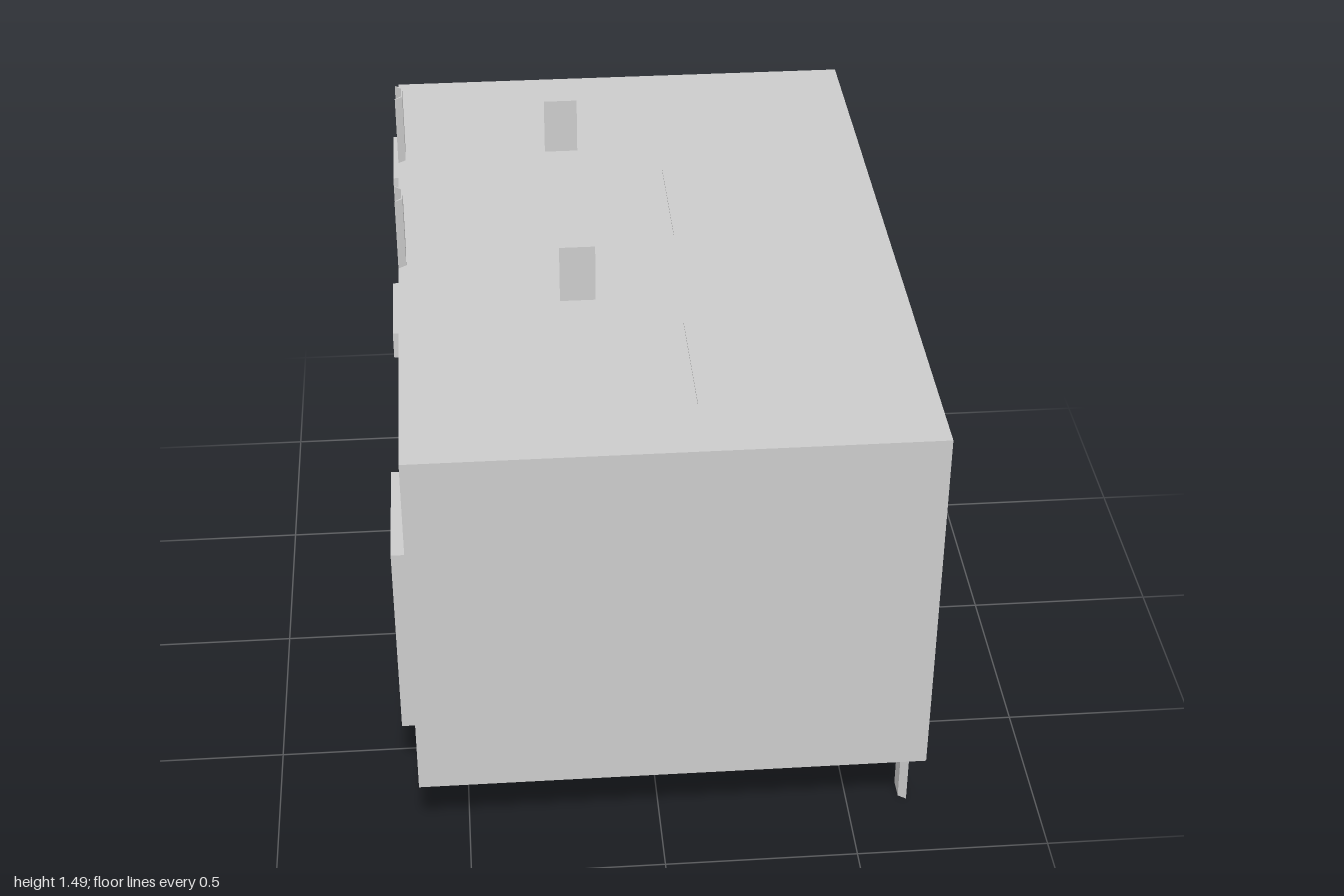
import * as THREE from 'three';

const mat = new THREE.MeshStandardMaterial({ color: 0xcccccc, flatShading: true });
const sheet = new THREE.MeshStandardMaterial({ color: 0xcccccc, flatShading: true, side: THREE.DoubleSide });

// Box given by its lower and upper limits
function box(name, [x0, y0, z0], [x1, y1, z1]) {
  const m = new THREE.Mesh(new THREE.BoxGeometry(x1 - x0, y1 - y0, z1 - z0), mat);
  m.position.set((x0 + x1) / 2, (y0 + y1) / 2, (z0 + z1) / 2);
  m.name = name;
  return m;
}

// Thin upright or flat plate
function plate(name, w, h, x, y, z, rx = 0, ry = 0) {
  const m = new THREE.Mesh(new THREE.PlaneGeometry(w, h), sheet);
  m.position.set(x, y, z);
  m.rotation.set(rx, ry, 0);
  m.name = name;
  return m;
}

// Open channel: flat web at depth 0, splayed flanges reaching 0.02; extruded along +z
function channel(name, length) {
  const t = 0.003;
  const s = new THREE.Shape();
  [[0.02, 0.041], [0, 0.027], [0, -0.027], [0.02, -0.041], [0.02, -0.041 + t],
    [t, -0.026 + t], [t, 0.026 - t], [0.02, 0.041 - t]]
    .forEach(([x, y], i) => (i ? s.lineTo(x, y) : s.moveTo(x, y)));
  const m = new THREE.Mesh(new THREE.ExtrudeGeometry(s, { depth: length, bevelEnabled: false }), sheet);
  m.name = name;
  return m;
}

// Small rectangular ring on the rear wall
function handle(x, y) {
  const s = new THREE.Shape();
  s.moveTo(-0.03, -0.02).lineTo(0.03, -0.02).lineTo(0.03, 0.02).lineTo(-0.03, 0.02);
  const h = new THREE.Path();
  h.moveTo(-0.02, -0.011).lineTo(-0.02, 0.011).lineTo(0.02, 0.011).lineTo(0.02, -0.011);
  s.holes.push(h);
  const m = new THREE.Mesh(new THREE.ExtrudeGeometry(s, { depth: 0.012, bevelEnabled: false }), mat);
  m.position.set(x, y, -0.937);
  m.name = 'rearHandle';
  return m;
}

export function createModel() {
  const g = new THREE.Group();
  const top = 1.295, bottom = 0.31;

  // Main block and the raised panel on its right side
  g.add(box('body', [-0.62, bottom, -0.925], [0.66, top, 1]));
  g.add(box('sidePanel', [-0.662, bottom, 0.41], [-0.62, 0.86, 0.765]));

  // Two cross straps with a lip over the side, an upright tab and a seam
  for (const [z, seamX, seamZ] of [[0.315, 0.085, 0.625], [-0.48, 0.1, -0.165]]) {
    const strap = new THREE.Group();
    strap.name = 'strap';
    strap.add(
      plate('strapTop', 1.28, 0.24, 0.02, top + 0.0006, z, -Math.PI / 2),
      box('strapLip', [-0.634, 1.225, z - 0.12], [-0.62, top, z + 0.12]),
      plate('tab', 0.09, 0.155, -0.17, top + 0.0775, z),
      plate('seam', 0.37, 0.004, seamX, top + 0.002, seamZ, 0, Math.PI / 2),
    );
    g.add(strap);
  }

  // Posts run through the right wall, open outwards
  for (const z of [0.081, -0.486]) {
    for (const [y, len, name] of [[top, 0.195, 'postTop'], [0.29, 0.02, 'postFoot']]) {
      const p = channel(name, len);
      p.rotation.set(-Math.PI / 2, 0, Math.PI);
      p.position.set(-0.6, y, z);
      g.add(p);
    }
  }

  // Leg below the left wall and rail end behind it
  const leg = channel('leg', bottom);
  leg.rotation.x = -Math.PI / 2;
  leg.position.set(0.64, 0, 0.762);
  const rail = channel('rearRail', 0.075);
  rail.position.set(0.64, 1.161, -1);
  g.add(leg, rail);

  // Rear hatch and handles
  g.add(box('rearHatch', [0.37, 0.905, -0.933], [0.61, 1.02, -0.925]));
  g.add(handle(0.335, 1.035), handle(-0.3, 1.035));
  return g;
}
